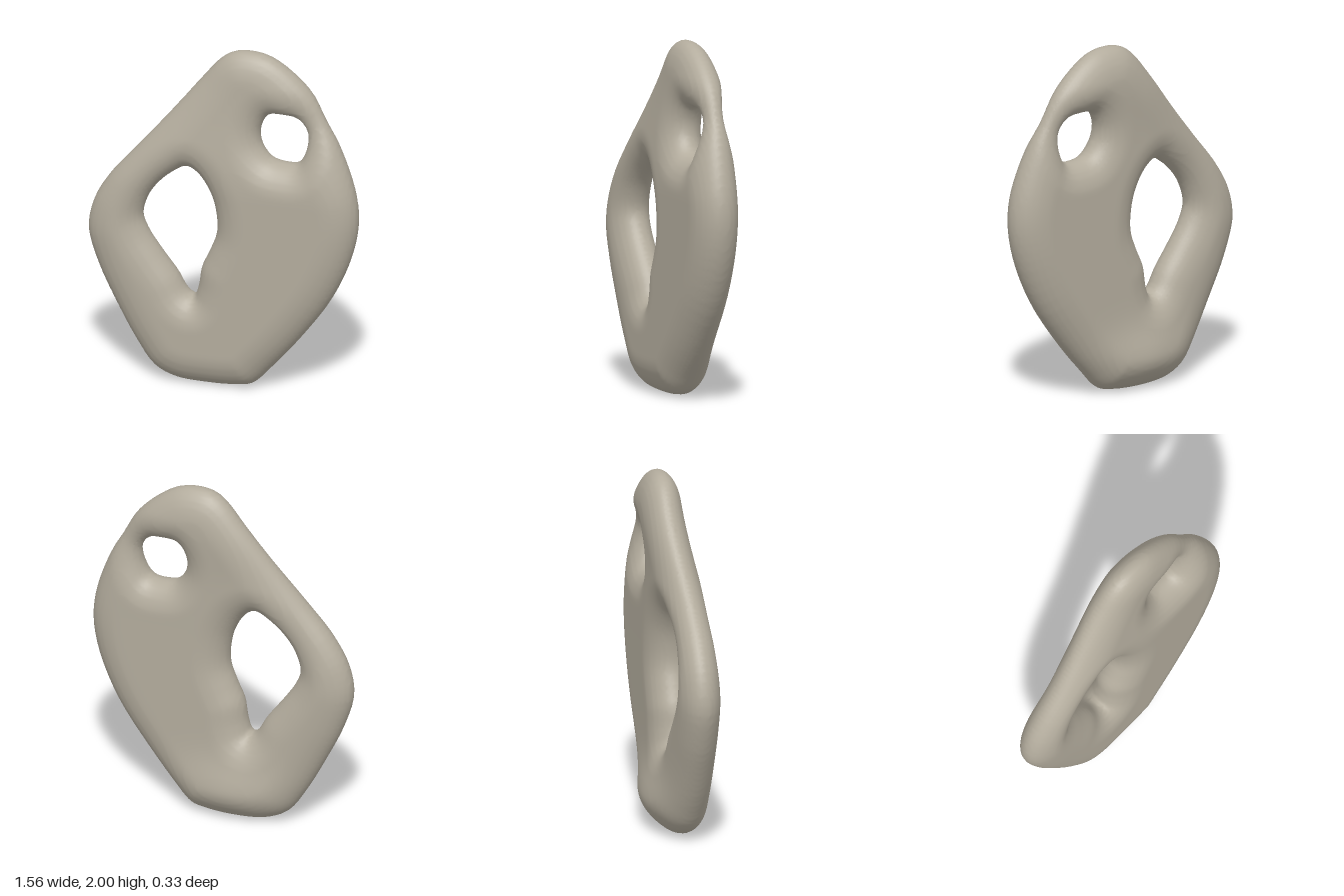
import * as THREE from 'three';

// Smooth closed curve through [x, y] pairs, sampled as a polygon
const loop = (pairs, n) => new THREE.CatmullRomCurve3(
  pairs.map(([x, y]) => new THREE.Vector3(x, y, 0)), true).getPoints(n);

const outline = loop([[0.13, 2.0], [0.25, 1.98], [0.38, 1.9], [0.5, 1.78], [0.62, 1.58], [0.72, 1.36],
  [0.77, 1.18], [0.775, 1.02], [0.73, 0.82], [0.62, 0.58], [0.45, 0.34], [0.28, 0.14], [0.17, 0.03],
  [0.08, 0.01], [-0.1, 0.003], [-0.28, 0.02], [-0.4, 0.08], [-0.5, 0.22], [-0.62, 0.44], [-0.72, 0.65],
  [-0.78, 0.86], [-0.75, 1.03], [-0.66, 1.19], [-0.5, 1.38], [-0.32, 1.59], [-0.15, 1.8],
  [-0.03, 1.94], [0.04, 1.985]], 100);
const largeHole = loop([[-0.21, 1.29], [-0.14, 1.25], [-0.07, 1.14], [-0.04, 1.02], [-0.04, 0.91],
  [-0.08, 0.8], [-0.125, 0.7], [-0.145, 0.58], [-0.17, 0.52], [-0.21, 0.54], [-0.27, 0.64],
  [-0.36, 0.76], [-0.44, 0.88], [-0.47, 0.97], [-0.44, 1.08], [-0.38, 1.17], [-0.29, 1.25]], 64);
const smallHole = loop([[0.33, 1.65], [0.41, 1.635], [0.47, 1.56], [0.475, 1.46], [0.43, 1.38],
  [0.35, 1.37], [0.27, 1.39], [0.21, 1.47], [0.205, 1.56], [0.25, 1.64]], 40);

// Signed distance to a polygon, positive inside
function inside(poly, x, y) {
  let best = Infinity, sign = -1;
  for (let i = 0; i < poly.length - 1; i++) {
    const a = poly[i], b = poly[i + 1];
    const ex = b.x - a.x, ey = b.y - a.y, px = x - a.x, py = y - a.y;
    const t = Math.min(1, Math.max(0, (px * ex + py * ey) / (ex * ex + ey * ey || 1)));
    best = Math.min(best, (px - ex * t) ** 2 + (py - ey * t) ** 2);
    if ((a.y > y) !== (b.y > y) && x < a.x + ex * py / ey) sign = -sign;
  }
  return sign * Math.sqrt(best);
}

const bump = (v, centre, width) => Math.exp(-(((v - centre) / width) ** 2));
const ease = THREE.MathUtils.smoothstep;

// Pebble field: negative inside, rounded towards the outline and both holes
function field(x, y, z) {
  const front = 0.16 - 0.065 * ease(y, 1.15, 1.85);
  const back = -0.112 - 0.055 * bump(y, 0.18, 0.17) * bump(x, -0.08, 0.3)
    - 0.02 * bump(y, 1.8, 0.25) + 0.03 * ease(-x, 0.05, 0.6);
  const rim = (d, r) => Math.max(0, 1 - d / r) ** 2;
  const u = rim(inside(outline, x, y), 0.2)
    + rim(-inside(largeHole, x, y), 0.19) + rim(-inside(smallHole, x, y), 0.18);
  const w = (z - (front + back) / 2) / ((front - back) / 2);
  return Math.sqrt(u + w * w) - 1;
}

// Wrap the field in a smooth mesh: one vertex per crossed cell, one quad per crossed edge
function skin(f, min, size, step) {
  const at = (i, j, k) => (i * size[1] + j) * size[2] + k;
  const values = new Float32Array(size[0] * size[1] * size[2]);
  const each = (margin, visit) => {
    for (let i = margin; i < size[0] - margin; i++)
      for (let j = margin; j < size[1] - margin; j++)
        for (let k = margin; k < size[2] - margin; k++) visit(i, j, k);
  };
  each(0, (i, j, k) => {
    values[at(i, j, k)] = f(min[0] + i * step, min[1] + j * step, min[2] + k * step);
  });
  const stride = [size[1] * size[2], size[2], 1];
  const vertexOf = new Map(), positions = [], indices = [];

  each(1, (i, j, k) => {
    const sum = [0, 0, 0];
    let count = 0;
    for (let c = 0; c < 8; c++) {
      const o = [c & 1, (c >> 1) & 1, (c >> 2) & 1];
      const start = at(i + o[0], j + o[1], k + o[2]);
      for (let a = 0; a < 3; a++) {
        if (o[a]) continue;
        const v0 = values[start], v1 = values[start + stride[a]];
        if ((v0 < 0) === (v1 < 0)) continue;
        for (let m = 0; m < 3; m++) sum[m] += o[m] + (m === a ? v0 / (v0 - v1) : 0);
        count++;
      }
    }
    if (!count) return;
    const p = [i, j, k].map((g, m) => min[m] + (g + sum[m] / count) * step);
    // Pull the vertex onto the surface
    for (let n = 0; n < 2; n++) {
      const e = 0.004, v = f(...p);
      const g = [0, 1, 2].map((m) => {
        const q = [...p], r = [...p];
        q[m] += e;
        r[m] -= e;
        return (f(...q) - f(...r)) / (2 * e);
      });
      const len = g[0] ** 2 + g[1] ** 2 + g[2] ** 2 || 1;
      for (let m = 0; m < 3; m++) {
        p[m] -= THREE.MathUtils.clamp(v * g[m] / len, -step / 3, step / 3);
      }
    }
    vertexOf.set(at(i, j, k), positions.length / 3);
    positions.push(...p);
  });

  each(1, (i, j, k) => {
    const here = at(i, j, k);
    for (let a = 0; a < 3; a++) {
      const inner = values[here] < 0;
      if (inner === (values[here + stride[a]] < 0)) continue;
      const b = stride[(a + 1) % 3], c = stride[(a + 2) % 3];
      const q = [here - b - c, here - c, here, here - b].map((n) => vertexOf.get(n));
      if (q.includes(undefined)) continue;
      if (!inner) q.reverse();
      indices.push(q[0], q[1], q[2], q[0], q[2], q[3]);
    }
  });

  const geometry = new THREE.BufferGeometry();
  geometry.setAttribute('position', new THREE.Float32BufferAttribute(positions, 3));
  geometry.setIndex(indices);
  geometry.computeVertexNormals();
  return geometry;
}

export function createModel() {
  const stone = new THREE.MeshStandardMaterial({ color: 0xb3ac9d });
  stone.name = 'stone';
  const group = new THREE.Group();
  group.name = 'piercedStone';

  // Flat stone with two worn holes
  const body = new THREE.Mesh(skin(field, [-0.85, -0.07, -0.23], [86, 108, 24], 0.02), stone);
  body.name = 'stoneBody';
  group.add(body);
  return group;
}
